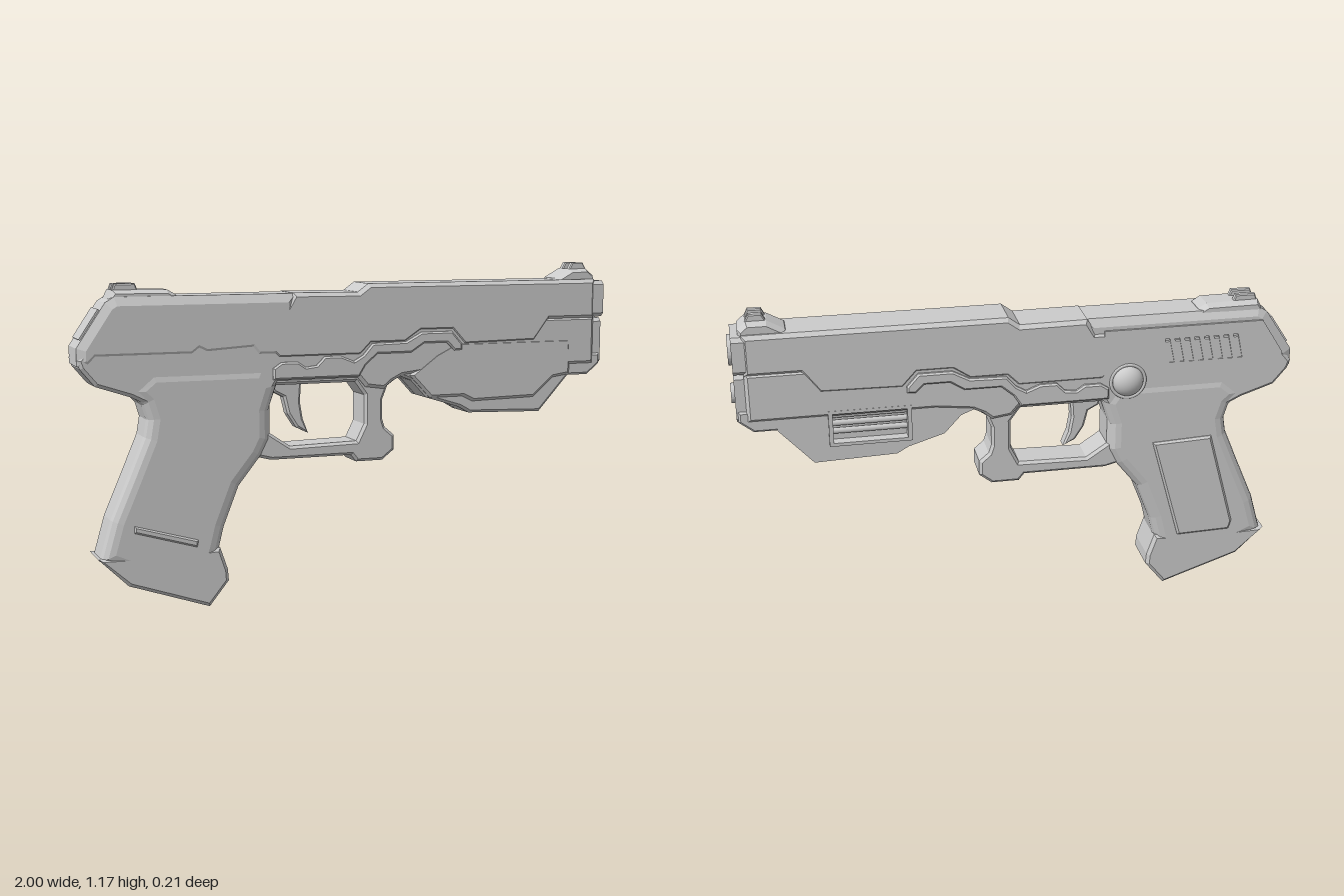
import * as THREE from 'three';

const material = new THREE.MeshStandardMaterial({ color: 0xcccccc });
const MID = 0.015; // centre plane of the body in z

const toPath = (pts, Type = THREE.Shape) => new Type(pts.map(([x, y]) => new THREE.Vector2(x, y)));

export function createModel() {
  const model = new THREE.Group();

  const add = (name, geometry) => {
    const mesh = new THREE.Mesh(geometry, material);
    mesh.name = name;
    model.add(mesh);
    return mesh;
  };

  // Side outline extruded from z0 to z1, with edges chamfered inside the outline
  const slab = (name, pts, z0, z1, size = 0, depth = size, holes = [], segments = 1) => {
    const shape = toPath(pts);
    shape.holes = holes.map((h) => toPath(h, THREE.Path));
    const geometry = new THREE.ExtrudeGeometry(shape, {
      depth: z1 - z0 - 2 * depth,
      bevelEnabled: size > 0,
      bevelSize: size,
      bevelOffset: -size,
      bevelThickness: depth,
      bevelSegments: segments,
    });
    geometry.translate(0, 0, z0 + depth);
    return add(name, geometry);
  };

  // Slide: low rear half and taller front half with a stepped lower edge
  slab('rearSlide', [
    [-1, 0.86], [-1, 0.92], [-0.9, 1.07], [-0.87, 1.088], [-0.23, 1.088], [-0.23, 0.86],
    [-0.38, 0.86], [-0.4, 0.885], [-0.56, 0.875], [-0.58, 0.885], [-0.6, 0.87], [-0.93, 0.87], [-0.96, 0.84],
  ], -0.062, 0.1, 0.03, 0.016);
  slab('frontSlide', [
    [-0.27, 1.04], [-0.24, 1.09], [0, 1.088], [0.04, 1.117], [0.95, 1.117], [0.95, 0.97], [0.76, 0.97],
    [0.7, 0.89], [0.41, 0.885], [0.36, 0.94], [0.24, 0.94], [0.18, 0.9], [0.05, 0.9], [0.01, 0.86], [-0.3, 0.86],
    [-0.34, 0.9], [-0.34, 1.04],
  ], -0.07, 0.1, 0.014);

  // Back side plate of the rear slide, with slanted vent slots
  const vents = [];
  for (let i = 0; i < 8; i++) {
    const x = -0.81 + i * 0.036;
    vents.push([[x, 0.91], [x + 0.018, 0.91], [x + 0.038, 1.0], [x + 0.02, 1.0]]);
  }
  slab('ventPlate', [
    [-0.96, 0.88], [-0.96, 0.92], [-0.88, 1.045], [-0.3, 1.045], [-0.3, 0.87], [-0.94, 0.87],
  ], -0.07, -0.055, 0, 0, vents);

  // Sloping panel on the rear of the slide
  const rearPanel = add('rearPanel', new THREE.BoxGeometry(0.012, 0.12, 0.11));
  rearPanel.position.set(-0.95, 0.995, MID);
  rearPanel.rotation.z = -Math.atan2(0.1, 0.15);

  // Frame below the slide
  slab('frame', [
    [-1, 0.88], [-0.99, 0.85], [-0.94, 0.79], [-0.82, 0.75], [-0.72, 0.7], [-0.34, 0.72], [-0.3, 0.785],
    [0, 0.785], [0.03, 0.75], [0.1, 0.74], [0.13, 0.765], [0.17, 0.785], [0.3, 0.8], [0.95, 0.8], [0.95, 0.98],
    [0.7, 0.98], [0.4, 1.0], [-0.9, 1.0],
  ], -0.066, 0.096, 0.012);

  // Under-barrel rail: core, front cover and windowed back cover
  const rail = [
    [0.16, 0.785], [0.21, 0.765], [0.27, 0.7], [0.4, 0.66], [0.44, 0.637], [0.73, 0.628],
    [0.85, 0.76], [0.85, 0.85], [0.2, 0.85],
  ];
  slab('railCore', rail, -0.03, 0.086, 0.01);
  const win = [[0.4, 0.7], [0.66, 0.7], [0.66, 0.81], [0.4, 0.81]];
  const cover = [
    [0.2, 0.785], [0.28, 0.7], [0.41, 0.7], [0.45, 0.68], [0.7, 0.685], [0.78, 0.755], [0.85, 0.765],
    [0.85, 0.9], [0.38, 0.9], [0.3, 0.86],
  ];
  slab('railFrontCover', cover, 0.05, 0.097, 0.01);
  slab('railBackSkin', rail, -0.057, -0.025, 0, 0, [win]);
  // Window frame standing proud of the rail
  slab('windowFrame', [[0.385, 0.688], [0.675, 0.688], [0.675, 0.822], [0.385, 0.822]], -0.067, -0.05, 0, 0, [win]);
  for (let i = 0; i < 3; i++) {
    const slat = add('windowSlat', new THREE.CylinderGeometry(0.011, 0.011, 0.26, 8));
    slat.rotation.z = Math.PI / 2;
    slat.position.set(0.53, 0.735 + i * 0.03, -0.036);
  }
  slab('frontFoot', [
    [0.84, 0.84], [0.84, 0.76], [0.93, 0.76], [0.98, 0.8], [0.98, 0.84],
  ], -0.057, 0.087, 0.008);

  // Raised stepped strips on both sides
  const strip = [
    [-0.32, 0.79], [0, 0.79], [0.025, 0.83], [0.07, 0.868], [0.2, 0.868], [0.25, 0.9], [0.34, 0.9], [0.37, 0.87],
    [0.4, 0.872], [0.4, 0.895], [0.36, 0.94], [0.24, 0.94], [0.18, 0.908], [0.05, 0.905], [0.015, 0.865],
    [-0.02, 0.845], [-0.07, 0.865], [-0.13, 0.865], [-0.16, 0.835], [-0.2, 0.83], [-0.23, 0.85], [-0.29, 0.85],
    [-0.32, 0.83],
  ];
  slab('frontStrip', strip, 0.085, 0.106, 0.006);
  slab('backStrip', strip, -0.08, -0.06, 0.006);

  // Muzzle caps with bores, drawn across z and pushed along x
  const muzzle = (name, y, halfY, halfZ, bore) => {
    const c = 0.014;
    const shape = toPath([
      [-halfZ, -halfY + c], [-halfZ + c, -halfY], [halfZ - c, -halfY], [halfZ, -halfY + c],
      [halfZ, halfY - c], [halfZ - c, halfY], [-halfZ + c, halfY], [-halfZ, halfY - c],
    ]);
    shape.holes.push(new THREE.Path().absarc(0, 0, bore, 0, Math.PI * 2, true));
    const cap = add(name, new THREE.ExtrudeGeometry(shape, { depth: 0.045, bevelEnabled: false, curveSegments: 24 }));
    cap.rotation.y = Math.PI / 2;
    cap.position.set(0.94, y, MID);
    // Lip round the bore
    const w = 0.011;
    const lip = add(name + 'Lip', new THREE.LatheGeometry([
      new THREE.Vector2(bore, -0.04), new THREE.Vector2(bore, 0), new THREE.Vector2(bore + w, 0),
      new THREE.Vector2(bore + w, -0.04),
    ].reverse(), 28));
    lip.geometry = lip.geometry.toNonIndexed();
    lip.geometry.computeVertexNormals();
    lip.material = doubleSided;
    lip.rotation.z = -Math.PI / 2;
    lip.position.set(0.997, y, MID);
  };
  const doubleSided = material.clone();
  doubleSided.side = THREE.DoubleSide;
  muzzle('upperMuzzle', 1.044, 0.067, 0.082, 0.042);
  muzzle('lowerMuzzle', 0.885, 0.087, 0.065, 0.024);

  // Sights: chamfered base with a pair of posts
  const sight = (name, base, post) => {
    slab(name + 'Base', base, MID - 0.065, MID + 0.065, 0.012, 0.025);
    for (const s of [-1, 1]) slab(name + 'Post', post, MID + s * 0.026 - 0.012, MID + s * 0.026 + 0.012, 0.004);
  };
  sight('frontSight',
    [[0.79, 1.1], [0.8, 1.122], [0.86, 1.155], [0.93, 1.155], [0.96, 1.13], [0.96, 1.1]],
    [[0.855, 1.14], [0.875, 1.178], [0.92, 1.178], [0.94, 1.14]]);
  sight('rearSight',
    [[-0.89, 1.07], [-0.87, 1.11], [-0.68, 1.108], [-0.65, 1.09], [-0.65, 1.07]],
    [[-0.875, 1.09], [-0.86, 1.13], [-0.79, 1.13], [-0.775, 1.09]]);

  // Grip with rounded edges, flared base and side details
  slab('grip', [
    [-0.83, 0.77], [-0.78, 0.72], [-0.765, 0.67], [-0.775, 0.61], [-0.83, 0.48], [-0.895, 0.33], [-0.935, 0.19],
    [-0.8, 0.13], [-0.54, 0.13], [-0.515, 0.2], [-0.495, 0.28], [-0.44, 0.42], [-0.36, 0.52], [-0.33, 0.58],
    [-0.33, 0.68], [-0.3, 0.77], [-0.35, 0.84], [-0.75, 0.84],
  ], -0.07, 0.1, 0.042, 0.035, [], 3);
  slab('gripBase', [
    [-0.943, 0.2], [-0.84, 0.1], [-0.555, 0.003], [-0.485, 0.09], [-0.488, 0.13], [-0.515, 0.21], [-0.7, 0.2],
  ], -0.07, 0.1, 0.012);
  slab('gripPanel', [
    [-0.49, 0.6], [-0.71, 0.61], [-0.81, 0.25], [-0.8, 0.215], [-0.6, 0.21],
  ], -0.081, -0.06, 0.008);
  slab('gripRidge', [
    [-0.82, 0.31], [-0.82, 0.285], [-0.6, 0.22], [-0.595, 0.245],
  ], 0.09, 0.106, 0.006);

  // Trigger guard: lower bar, octagonal end and front column
  slab('triggerGuard', [
    [-0.38, 0.52], [-0.32, 0.505], [-0.02, 0.505], [0, 0.48], [0.1, 0.48], [0.145, 0.515], [0.145, 0.57],
    [0.11, 0.6], [0.1, 0.63], [0.1, 0.7], [0.12, 0.75], [0.17, 0.785], [0.17, 0.82], [-0.33, 0.82], [-0.38, 0.7],
  ], -0.048, 0.08, 0.01, 0.01, [[
    [-0.3, 0.768], [-0.005, 0.768], [0.03, 0.72], [0.03, 0.615], [0, 0.555], [-0.25, 0.55], [-0.325, 0.6],
    [-0.325, 0.7],
  ]]);

  // Curved trigger
  slab('trigger', [
    [-0.31, 0.78], [-0.3, 0.74], [-0.262, 0.72], [-0.247, 0.66], [-0.215, 0.61], [-0.17, 0.588], [-0.19, 0.64],
    [-0.2, 0.7], [-0.195, 0.78],
  ], -0.012, 0.042, 0.008);

  // Domed button with a collar on the back side
  const button = add('domeButton', new THREE.SphereGeometry(0.057, 28, 18));
  button.scale.z = 0.75;
  button.position.set(-0.39, 0.85, -0.063);
  const collar = add('buttonCollar', new THREE.TorusGeometry(0.062, 0.006, 8, 32));
  collar.position.set(-0.39, 0.85, -0.069);

  return model;
}
